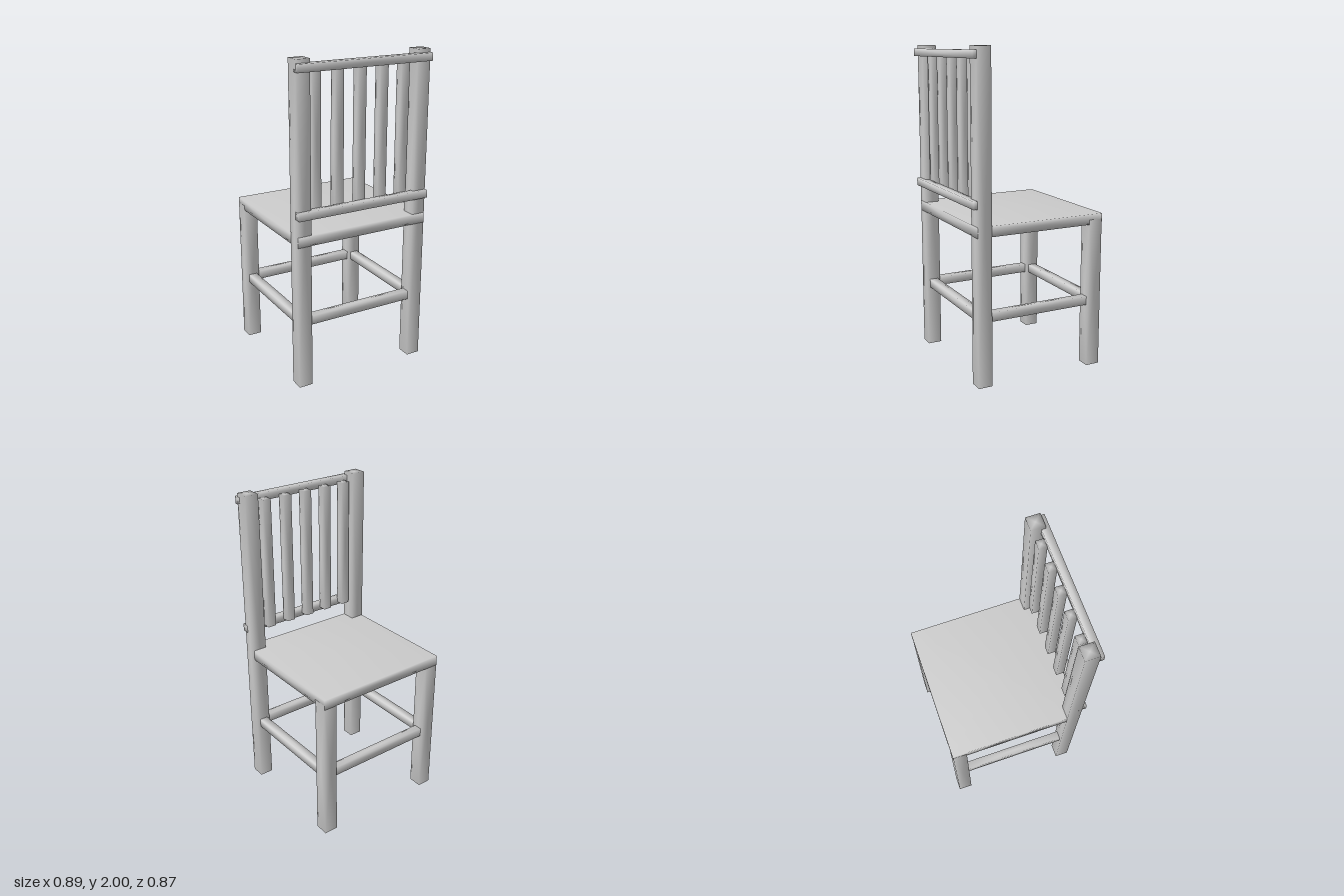
import * as THREE from 'three';

const material = new THREE.MeshStandardMaterial({ color: 0xcccccc });

// Square bar with softly shaded edges: 8 shared corners plus one centre per face.
function softBox(w, h, d) {
  const positions = [];
  const index = [];
  for (const x of [-1, 1]) for (const y of [-1, 1]) for (const z of [-1, 1]) {
    positions.push(x * w / 2, y * h / 2, z * d / 2);
  }
  const faces = [
    [4, 6, 7, 5], [0, 1, 3, 2], // +x, -x
    [2, 3, 7, 6], [0, 4, 5, 1], // +y, -y
    [1, 5, 7, 3], [0, 2, 6, 4], // +z, -z
  ];
  faces.forEach((face, i) => {
    const centre = [0, 0, 0];
    const axis = i >> 1;
    centre[axis] = [w, h, d][axis] / 2 * (i % 2 ? -1 : 1);
    positions.push(...centre);
    face.forEach((a, k) => index.push(a, face[(k + 1) % 4], 8 + i));
  });
  const geometry = new THREE.BufferGeometry();
  geometry.setAttribute('position', new THREE.Float32BufferAttribute(positions, 3));
  geometry.setIndex(index);
  geometry.computeVertexNormals();
  return geometry;
}

export function createModel() {
  const chair = new THREE.Group();
  chair.name = 'chair';

  // Add a bar given its extents along x, y and z
  function bar(name, [x0, x1], [y0, y1], [z0, z1]) {
    const mesh = new THREE.Mesh(softBox(x1 - x0, y1 - y0, z1 - z0), material);
    mesh.position.set((x0 + x1) / 2, (y0 + y1) / 2, (z0 + z1) / 2);
    mesh.name = name;
    chair.add(mesh);
  }

  const backZ = [0.321, 0.41];
  const frontZ = [-0.435, -0.346];

  // Seat panel
  bar('seat', [-0.442, 0.442], [0.92, 0.985], [-0.437, 0.411]);

  // Tall posts, short legs and side stretchers
  for (const [side, x] of [['right', [-0.443, -0.355]], ['left', [0.355, 0.443]]]) {
    const mid = (x[0] + x[1]) / 2;
    bar(side + 'BackPost', x, [0, 2], backZ);
    bar(side + 'Leg', x, [0, 0.95], frontZ);
    bar(side + 'Stretcher', [mid - 0.027, mid + 0.027], [0.4, 0.455], [-0.36, 0.335]);
  }

  // Stretchers across the width
  for (const [name, z] of [['legStretcher', frontZ], ['postStretcher', backZ]]) {
    const mid = (z[0] + z[1]) / 2;
    bar(name, [-0.37, 0.37], [0.4, 0.455], [mid - 0.027, mid + 0.027]);
  }

  // Backrest rails fixed to the outside of the posts
  bar('lowerBackRail', [-0.443, 0.443], [1.09, 1.138], [0.386, 0.435]);
  bar('upperBackRail', [-0.443, 0.443], [1.93, 1.977], [0.386, 0.435]);

  // Backrest spindles
  for (let i = 0; i < 5; i++) {
    const x = -0.304 + i * 0.148;
    bar('backSpindle' + (i + 1), [x - 0.028, x + 0.028], [1.11, 1.95], [0.335, 0.387]);
  }

  return chair;
}
